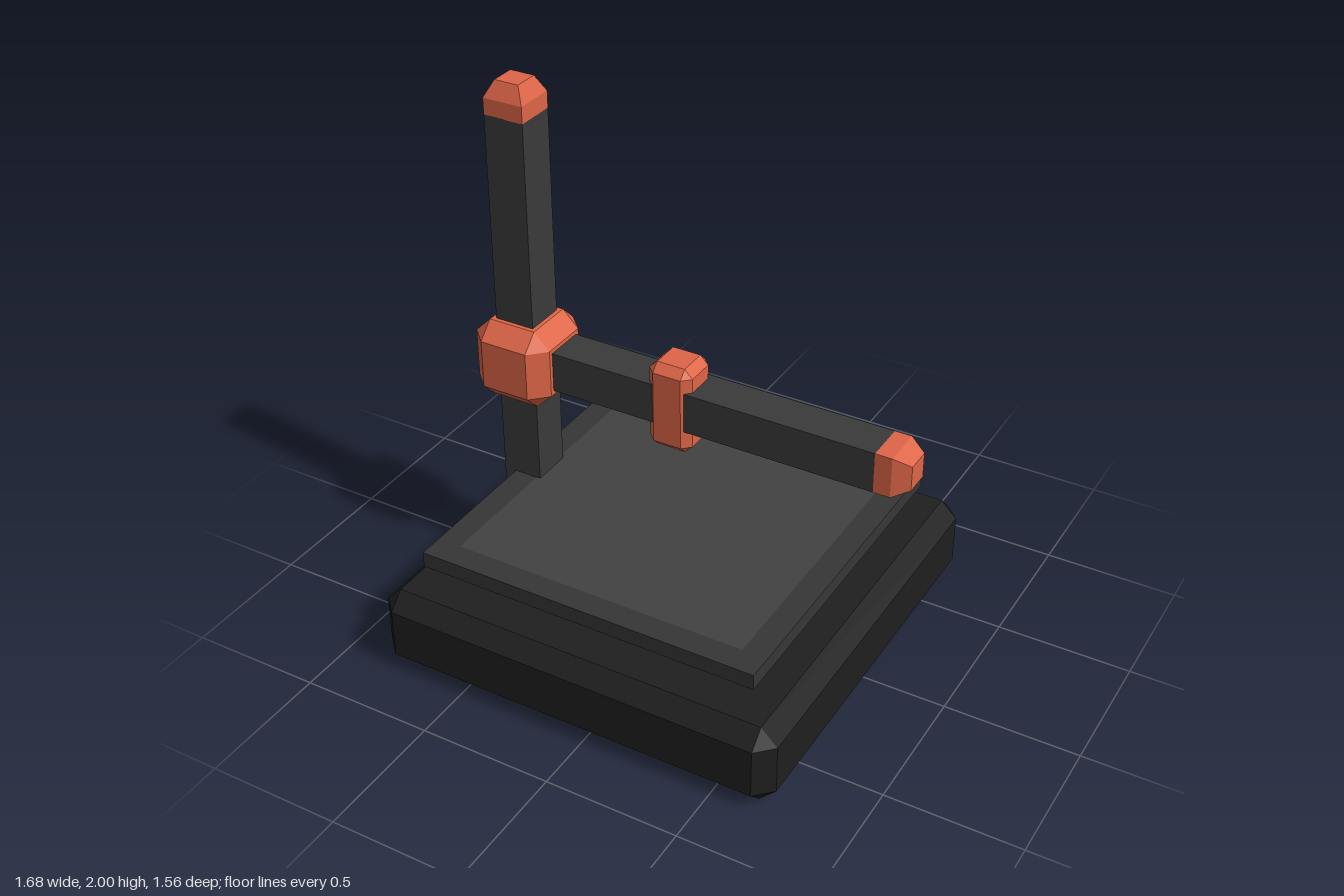
import * as THREE from 'three';
import { ConvexGeometry } from 'three/addons/geometries/ConvexGeometry.js';

const paint = (color) => new THREE.MeshStandardMaterial({ color, flatShading: true });

// Box with every edge cut by one 45 degree bevel
function bevelBox(w, h, d, bevel) {
  const half = [w / 2, h / 2, d / 2];
  const points = [];
  for (const sx of [-1, 1]) for (const sy of [-1, 1]) for (const sz of [-1, 1]) {
    const sign = [sx, sy, sz];
    for (let full = 0; full < 3; full++) {
      points.push(new THREE.Vector3(...half.map((v, i) => sign[i] * (i === full ? v : v - bevel))));
    }
  }
  return new ConvexGeometry(points);
}

// Square end cap along +y: straight collar, then a taper to a smaller end
function capGeometry(half, collar, height, endHalf) {
  const points = [];
  for (const [r, y] of [[half, 0], [half, collar], [endHalf, height]]) {
    for (const sx of [-1, 1]) for (const sz of [-1, 1]) points.push(new THREE.Vector3(sx * r, y, sz * r));
  }
  return new ConvexGeometry(points);
}

export function createModel() {
  const model = new THREE.Group();
  model.name = 'printer';

  const black = paint(0x1f1f1f);
  const rail = paint(0x3a3a3a);
  const plate = paint(0x363636);
  const surface = paint(0x424242);
  const orange = paint(0xde6648);
  const grey = paint(0xcccccc);

  const add = (name, geometry, material, x, y, z = 0) => {
    const mesh = new THREE.Mesh(geometry, material);
    mesh.name = name;
    mesh.position.set(x, y, z);
    model.add(mesh);
    return mesh;
  };
  const box = (w, h, d) => new THREE.BoxGeometry(w, h, d);

  // Base and print bed
  add('base', bevelBox(1.56, 0.312, 1.56, 0.062), black, -0.065, 0.156);
  add('bedSupport', box(1.125, 0.12, 1.125), black, -0.065, 0.338);
  add('bedPlate', box(1.31, 0.06, 1.31), plate, -0.065, 0.425);
  const bedSurface = add('bedSurface', new THREE.PlaneGeometry(1.125, 1.125), surface, -0.065, 0.4565);
  bedSurface.rotation.x = -Math.PI / 2;

  // Upright post, sideways arm and their matching caps
  const postX = -0.69, armY = 0.94, width = 0.154;
  add('post', box(width, 1.58, width), rail, postX, 1.09);
  add('arm', box(1.405, width, width), rail, 0.0125, armY);
  const cap = capGeometry(width / 2, 0.062, 0.122, 0.047);
  add('postCap', cap, orange, postX, 1.878);
  add('armCap', cap, orange, 0.715, armY).rotation.z = -Math.PI / 2;

  // Carriage on the post and print head on the arm
  add('carriage', bevelBox(0.31, 0.31, 0.31, 0.062), orange, postX, armY);
  add('printHead', bevelBox(0.17, 0.338, 0.17, 0.031), orange, -0.065, 0.933);

  // Nozzle: orange sides, grey front and back
  add('nozzle', box(0.031, 0.06, 0.031), [orange, orange, orange, orange, grey, grey], -0.065, 0.76);

  return model;
}
